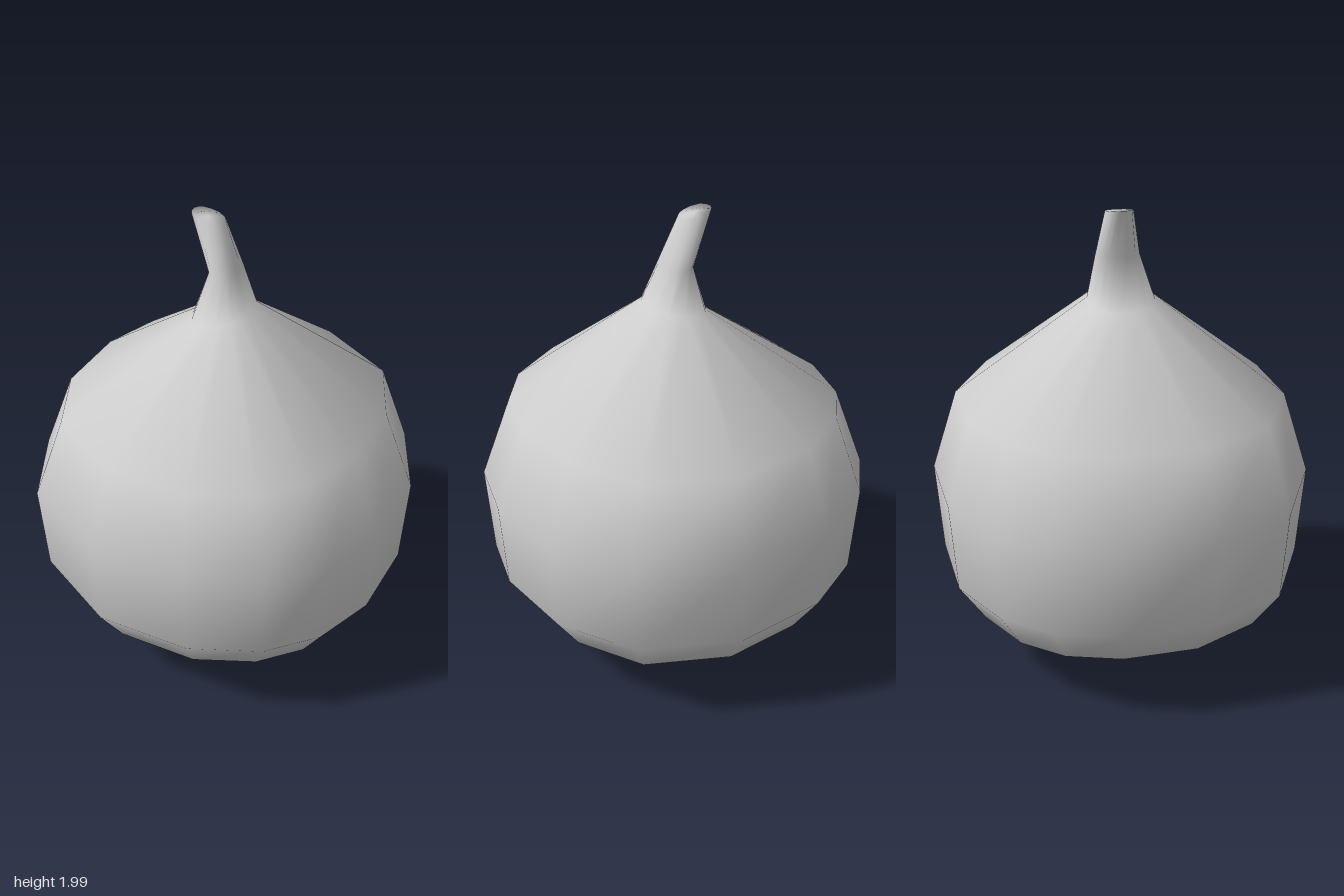
import * as THREE from 'three';

// Half of the uneven outline at the widest level; the other half is the same turned 180 degrees
const HALF = [[0.785, 0.14], [0.70, 0.42], [0.53, 0.62], [0.24, 0.765], [-0.18, 0.785], [-0.585, 0.585], [-0.765, 0.245]];
const OUTLINE = [...HALF, ...HALF.map(([x, z]) => [-x, -z])].map(([x, z]) => [x / 0.785, z / 0.785]);

// Cross-sections from root to stem tip: centre x, y, centre z, radius x, radius z, tilt of y along x
const RINGS = [
  [-0.01, 0.005, 0, 0, 0, 0],
  [0, 0.04, 0, 0.06, 0.06, 0],
  [0, 0.10, 0, 0.34, 0.34, 0],
  [0, 0.26, 0, 0.64, 0.64, 0],
  [0, 0.435, 0, 0.76, 0.755, 0],
  [0, 0.82, 0, 0.787, 0.785, 0],
  [0, 1.17, 0, 0.66, 0.68, 0],
  [-0.005, 1.59, 0.005, 0.125, 0.138, 0.2],
  [-0.005, 1.78, -0.01, 0.055, 0.09, 0],
  [-0.09, 1.985, -0.02, 0.07, 0.055, -0.2],
  [-0.09, 1.985, -0.02, 0, 0, 0],
];

// Smooth skin lofted through the cross-sections, closed to a point at both ends
function loft(rings) {
  const n = OUTLINE.length, positions = [], index = [], starts = [];
  for (const [cx, cy, cz, rx, rz, tilt] of rings) {
    starts.push(positions.length / 3);
    if (rx === 0) positions.push(cx, cy, cz);
    else for (const [x, z] of OUTLINE) positions.push(cx + x * rx, cy + x * rx * tilt, cz + z * rz);
  }
  const at = (i, j) => starts[i] + (rings[i][3] === 0 ? 0 : j % n);
  for (let i = 0; i < rings.length - 1; i++) {
    for (let j = 0; j < n; j++) {
      const a = at(i, j), b = at(i, j + 1), c = at(i + 1, j), d = at(i + 1, j + 1);
      if (a !== b) index.push(a, c, b);
      if (c !== d) index.push(b, c, d);
    }
  }
  const geometry = new THREE.BufferGeometry();
  geometry.setAttribute('position', new THREE.Float32BufferAttribute(positions, 3));
  geometry.setIndex(index);
  geometry.computeVertexNormals();
  return geometry;
}

export function createModel() {
  const skin = new THREE.MeshStandardMaterial({ color: 0xcccccc });
  skin.name = 'pale grey skin';
  const bulb = new THREE.Mesh(loft(RINGS), skin);
  bulb.name = 'bulbWithStem';
  const model = new THREE.Group();
  model.name = 'bulb';
  model.add(bulb);
  return model;
}
